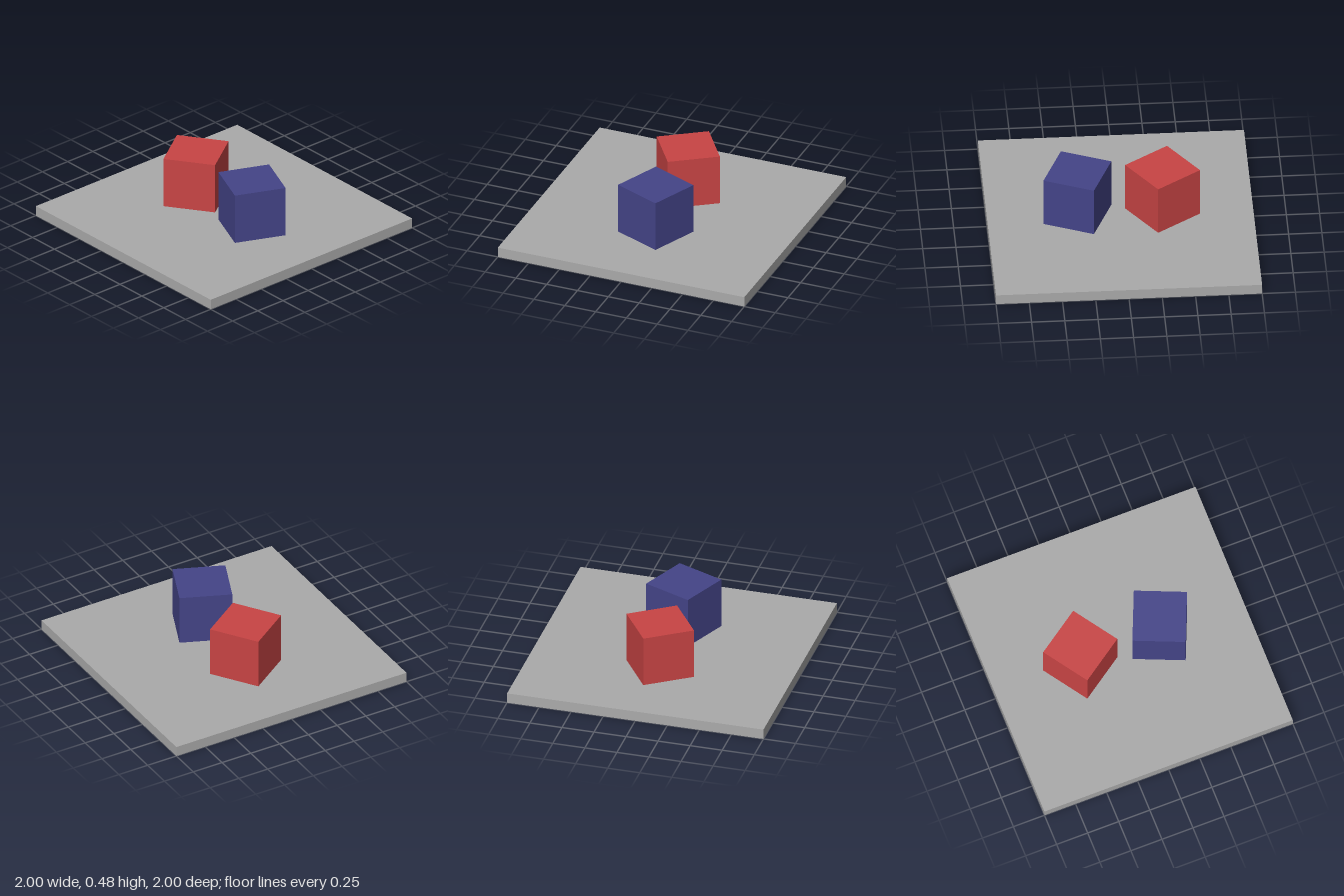
import * as THREE from 'three';

const material = (name, color) => {
  const m = new THREE.MeshStandardMaterial({ color });
  m.name = name;
  return m;
};

// Box resting at height `bottom`, turned about the vertical axis
function block(name, [w, h, d], x, bottom, turn, mat) {
  const mesh = new THREE.Mesh(new THREE.BoxGeometry(w, h, d), mat);
  mesh.name = name;
  mesh.position.set(x, bottom + h / 2, 0);
  mesh.rotation.y = turn;
  return mesh;
}

export function createModel() {
  const model = new THREE.Group();
  model.name = 'blocksOnSlab';

  const slabHeight = 0.08;
  const cube = [0.4, 0.4, 0.4];

  model.add(
    // Square base
    block('baseSlab', [2, slabHeight, 2], 0, 0, 0, material('grey', 0xaaaaaa)),
    // Two turned cubes standing on it
    block('redCube', cube, -0.32, slabHeight, 0.6, material('red', 0xc84444)),
    block('blueCube', cube, 0.32, slabHeight, -0.4, material('blue', 0x444488)),
  );
  return model;
}
